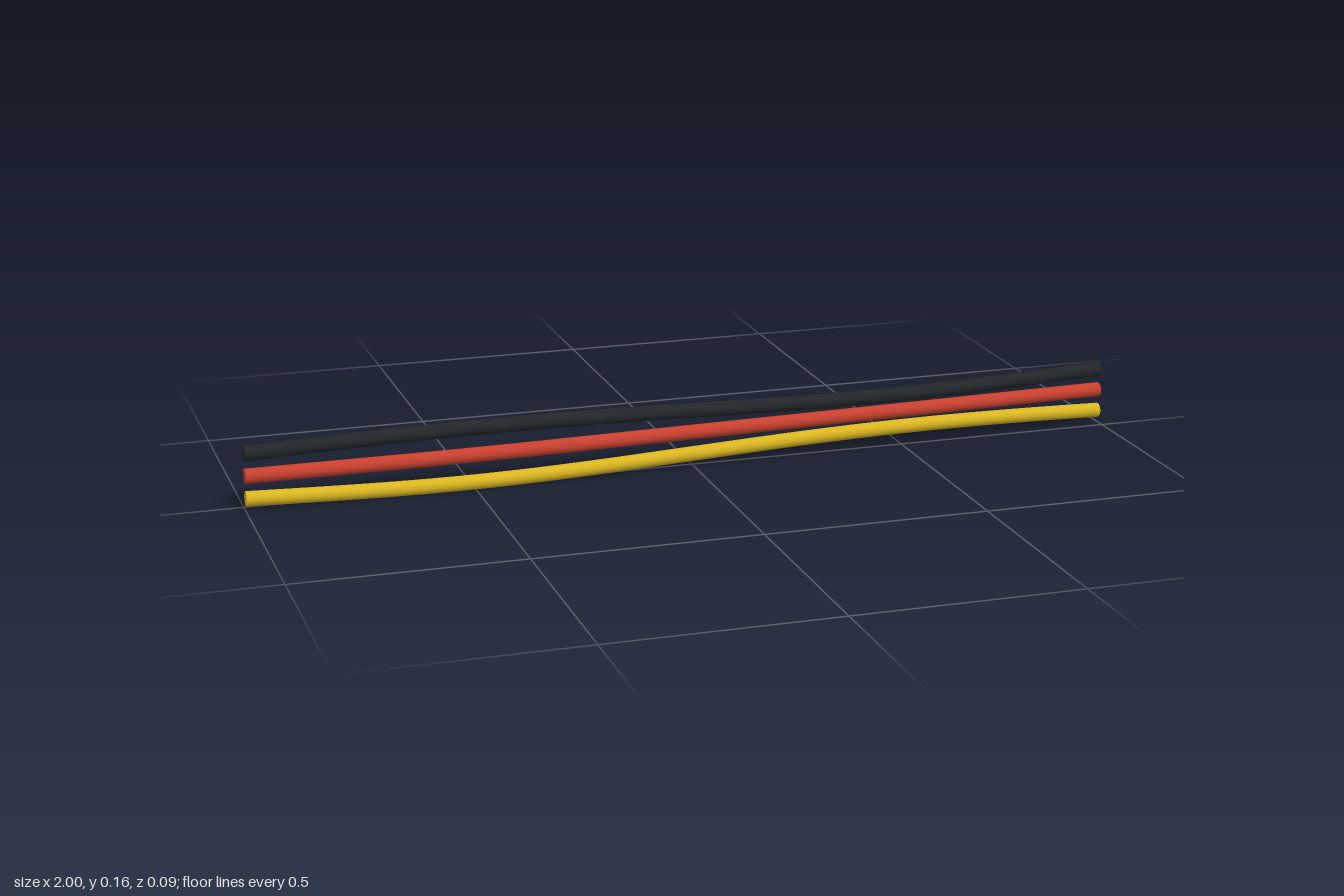
import * as THREE from 'three';

const RADIUS = 0.0165;
const SIDES = 16;

// Centre line of one cable: a shared sideways drift plus a vertical wave.
function cablePath(height, wave) {
  const drift = [0.028, 0.0275, 0.01, -0.0085, -0.0285];
  const driftCurve = new THREE.CatmullRomCurve3(
    drift.map((z, i) => new THREE.Vector3(-1 + i * 0.5, 0, z)));
  const points = [];
  for (let i = 0; i <= 24; i++) {
    const p = driftCurve.getPoint(i / 24);
    points.push(new THREE.Vector3(p.x, height - wave * Math.sin(Math.PI * p.x), p.z));
  }
  return new THREE.CatmullRomCurve3(points);
}

function makeCable(name, color, height, wave) {
  const cable = new THREE.Group();
  cable.name = name;
  const material = new THREE.MeshStandardMaterial({ color });
  const path = cablePath(height, wave);

  const sleeve = new THREE.Mesh(new THREE.TubeGeometry(path, 48, RADIUS, SIDES, false), material);
  sleeve.name = name + 'Sleeve';
  cable.add(sleeve);

  // Flat discs closing both ends
  for (const [t, direction, label] of [[0, -1, 'RightEnd'], [1, 1, 'LeftEnd']]) {
    const cap = new THREE.Mesh(new THREE.CircleGeometry(RADIUS, SIDES), material);
    const outward = path.getTangent(t).multiplyScalar(direction);
    cap.name = name + label;
    cap.position.copy(path.getPoint(t));
    cap.quaternion.setFromUnitVectors(new THREE.Vector3(0, 0, 1), outward);
    cable.add(cap);
  }
  return cable;
}

export function createModel() {
  const model = new THREE.Group();
  model.name = 'cableBundle';
  model.add(
    makeCable('blackCable', 0x22262a, 0.1285, 0.0115),
    makeCable('redCable', 0xc8402f, 0.0785, 0),
    makeCable('yellowCable', 0xd9b520, 0.0285, -0.0115),
  );
  return model;
}
